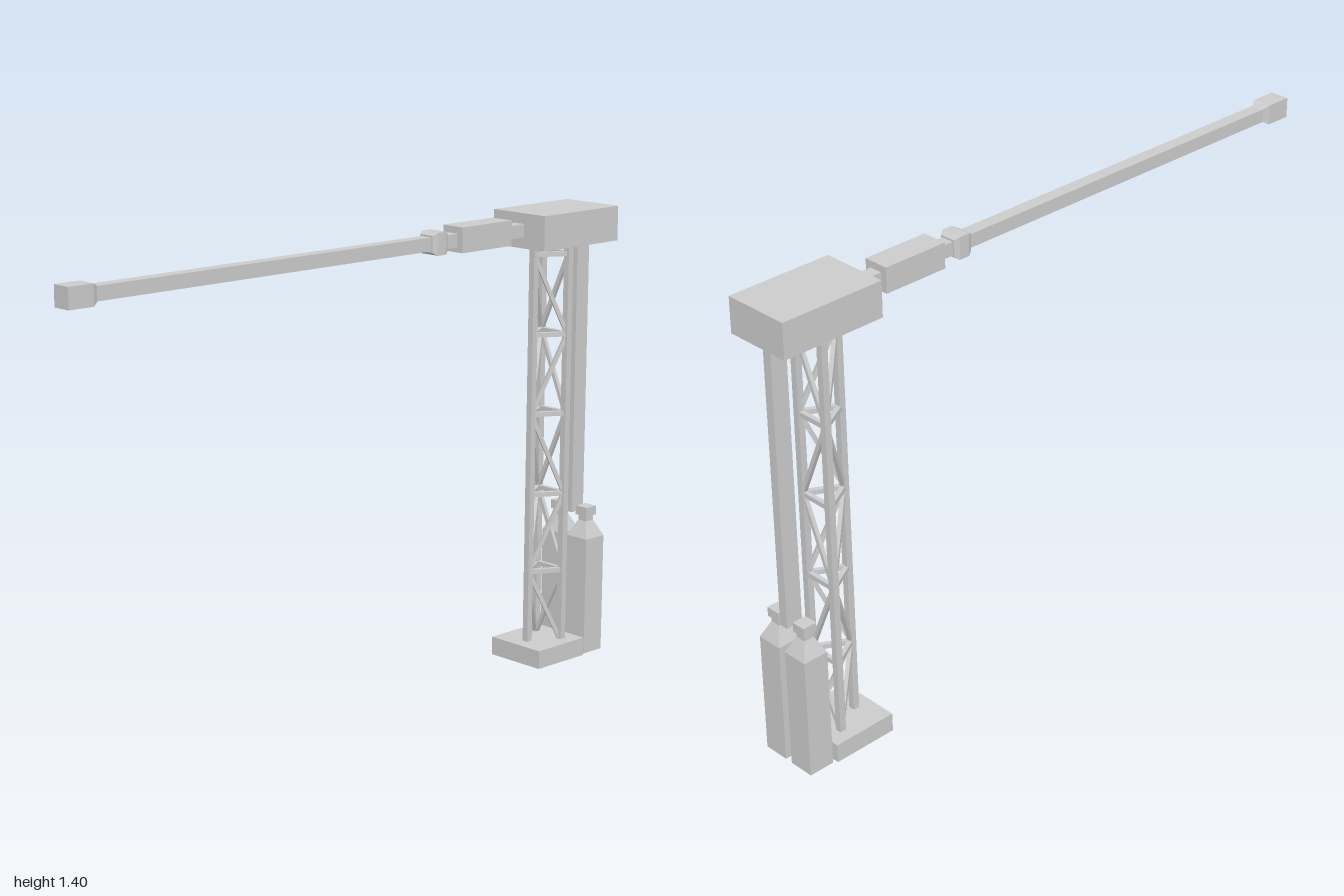
import * as THREE from 'three';

const mat = new THREE.MeshStandardMaterial({ color: 0xcccccc, flatShading: true });

export function createModel() {
  const root = new THREE.Group();
  const add = (name, geo, parent = root) => {
    const m = new THREE.Mesh(geo, mat);
    m.name = name;
    parent.add(m);
    return m;
  };
  // box given by its min/max on each axis
  const box = (name, x0, x1, y0, y1, z0, z1, parent) => {
    const m = add(name, new THREE.BoxGeometry(x1 - x0, y1 - y0, z1 - z0), parent);
    m.position.set((x0 + x1) / 2, (y0 + y1) / 2, (z0 + z1) / 2);
    return m;
  };
  // square-section solid from [half width, height] pairs, bottom to top
  const squareProfile = (pts) => new THREE.LatheGeometry(
    pts.map(([h, y]) => new THREE.Vector2(h * Math.SQRT2, y)), 4, Math.PI / 4);
  // thin square bar between two points
  const bar = (name, a, b, t, parent) => {
    const m = add(name, new THREE.BoxGeometry(t, t, a.distanceTo(b)), parent);
    m.position.copy(a).add(b).multiplyScalar(0.5);
    m.lookAt(b);
    return m;
  };

  // base and head housing
  box('base', -0.1, 0.1, 0, 0.057, -0.893, -0.69);
  box('headHousing', -0.103, 0.103, 1.295, 1.4, -1, -0.675);

  // triangular lattice tower: one front leg, two rear legs
  const tower = new THREE.Group();
  tower.name = 'latticeTower';
  root.add(tower);
  const legs = [[0, -0.743], [0.053, -0.838], [-0.053, -0.838]];
  for (const [x, z] of legs) {
    box('towerLeg', x - 0.01, x + 0.01, 0.05, 1.3, z - 0.01, z + 0.01, tower);
  }
  const at = (leg, y) => new THREE.Vector3(legs[leg][0], y, legs[leg][1]);
  const levels = [1.267, 1.022, 0.777, 0.525, 0.28, 0.05];
  for (const [a, b] of [[0, 1], [0, 2], [1, 2]]) {
    for (let i = 0; i < 5; i++) {
      bar('towerRung', at(a, levels[i]), at(b, levels[i]), 0.014, tower);
      const [from, to] = i % 2 ? [b, a] : [a, b];
      bar('towerDiagonal', at(from, levels[i]), at(to, levels[i + 1]), 0.012, tower);
    }
  }

  // rear column and the two hanging cylinders
  box('rearColumn', -0.014, 0.014, 0.44, 1.3, -0.973, -0.921);
  for (const s of [1, -1]) {
    const bottle = add('gasBottle', squareProfile([
      [0, 0], [0.04, 0], [0.04, 0.37], [0.016, 0.42], [0.016, 0.437],
      [0.022, 0.437], [0.022, 0.465], [0, 0.465],
    ]));
    bottle.position.set(0.052 * s, 0, -0.944);
  }

  // horizontal boom along z
  const boom = new THREE.Group();
  boom.name = 'boom';
  boom.position.y = 1.348;
  root.add(boom);
  const along = (name, pts) => { add(name, squareProfile(pts), boom).rotation.x = Math.PI / 2; };
  along('boomTube', [
    [0, -0.7], [0.02, -0.7], [0.02, 0.902], [0.03, 0.92], [0.03, 1], [0, 1],
  ]);
  along('boomCollar', [
    [0, -0.351], [0.025, -0.351], [0.033, -0.338], [0.033, -0.305], [0.025, -0.29], [0, -0.29],
  ]);
  box('boomDrive', -0.039, 0.039, -0.035, 0.04, -0.603, -0.397, boom);

  return root;
}
